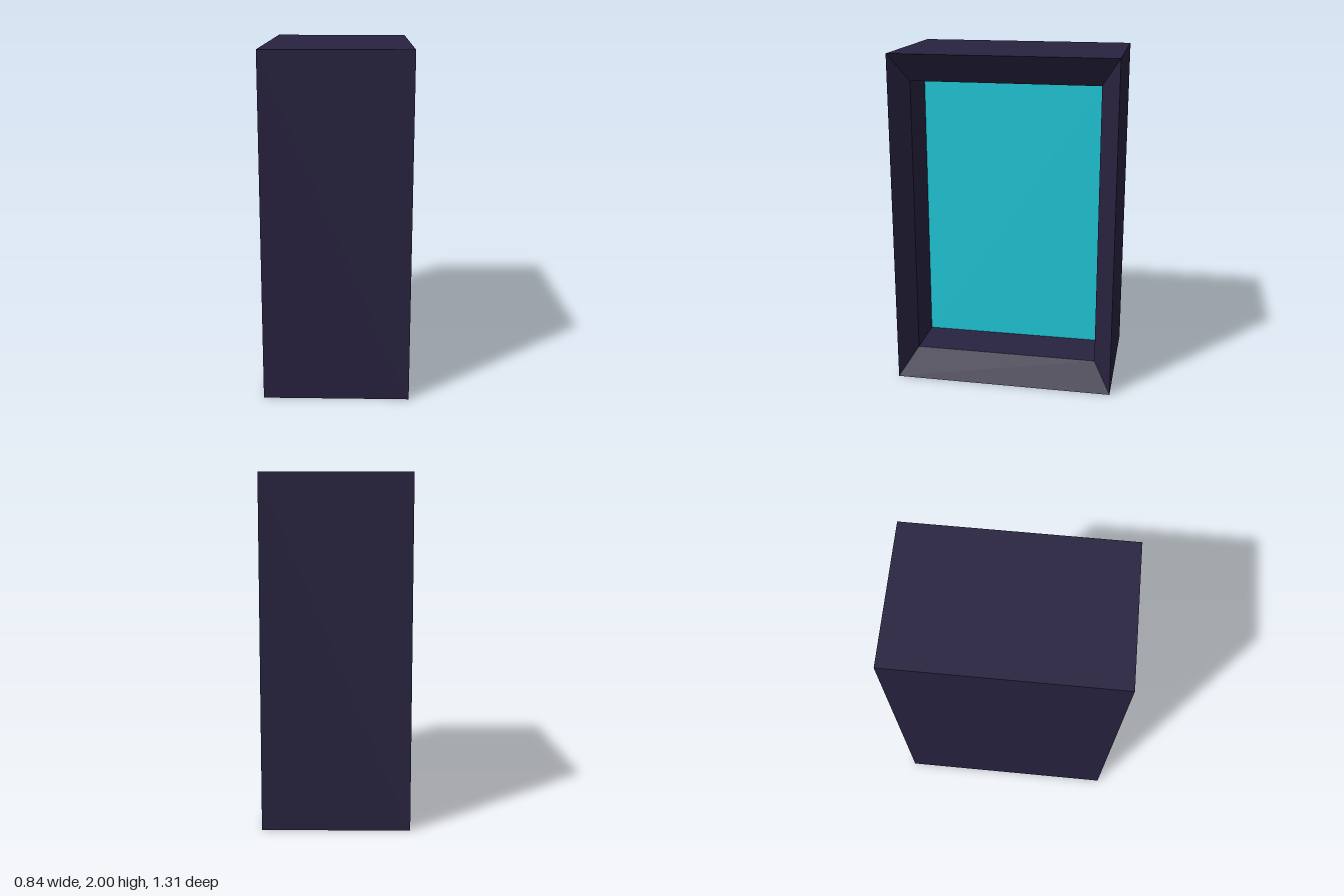
import * as THREE from 'three';

// Rectangular cross-section at depth x, counter-clockwise as seen from +x
function ring(x, halfZ, halfY) {
  return [[1, -1], [-1, -1], [-1, 1], [1, 1]].map(([z, y]) => [x, 1 + y * halfY, z * halfZ]);
}

// Flat-faced geometry from a list of four-cornered faces
function facesGeometry(quads) {
  const points = quads.flatMap(([a, b, c, d]) => [a, b, c, a, c, d]).flat();
  const geometry = new THREE.BufferGeometry();
  geometry.setAttribute('position', new THREE.Float32BufferAttribute(points, 3));
  geometry.computeVertexNormals();
  return geometry;
}

function part(name, quads, color) {
  const material = new THREE.MeshStandardMaterial({ color, flatShading: true });
  const mesh = new THREE.Mesh(facesGeometry(quads), material);
  mesh.name = name;
  return mesh;
}

export function createModel() {
  const model = new THREE.Group();
  model.name = 'recessedScreenBox';

  // Sections from the closed back, over the rim and its bevel, down to the recess floor
  const rings = [
    ring(-0.42, 0.657, 1),
    ring(0.42, 0.657, 1),
    ring(0.32, 0.552, 0.835),
    ring(0.025, 0.552, 0.835),
  ];

  // Casing: back wall, outer walls, bevel and recess walls
  const casing = [[...rings[0]].reverse()];
  for (let r = 0; r < rings.length - 1; r++) {
    for (let i = 0; i < 4; i++) {
      const j = (i + 1) % 4;
      casing.push([rings[r][i], rings[r][j], rings[r + 1][j], rings[r + 1][i]]);
    }
  }
  model.add(part('casing', casing, 0x28223f));

  // Screen at the bottom of the recess
  model.add(part('screen', [rings[3]], 0x1fc8d8));
  return model;
}
